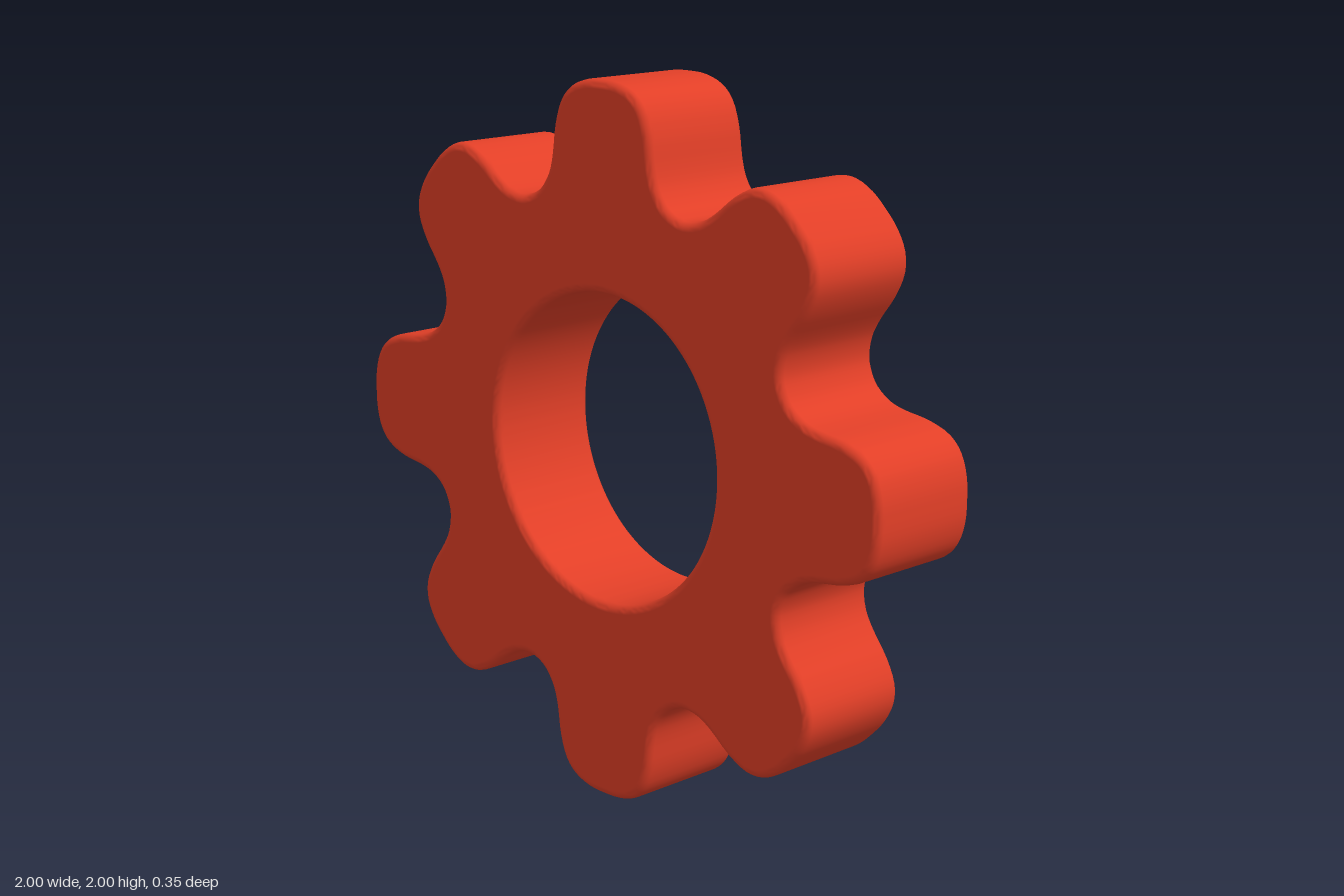
import * as THREE from 'three';
import { toCreasedNormals } from 'three/addons/utils/BufferGeometryUtils.js';

const TEETH = 8;
const DEPTH = 0.35;
const BEVEL = 0.025;
const HOLE_RADIUS = 0.43;

// Half of one tooth, from the middle of its tip down to the middle of the valley
const HALF_TOOTH = [
  [0, 1], [0.062, 0.996], [0.12, 0.976], [0.16, 0.938], [0.186, 0.87],
  [0.199, 0.785], [0.214, 0.735], [0.246, 0.691], [0.278, 0.672],
];

// Smooth closed outline: each tooth is mirrored about its axis and turned into place
function gearOutline() {
  const left = HALF_TOOTH.slice(1).reverse().map(([x, y]) => [-x, y]);
  const tooth = [...left, ...HALF_TOOTH.slice(0, -1)];
  const points = [];
  for (let i = 0; i < TEETH; i++) {
    const a = (i / TEETH) * Math.PI * 2;
    const c = Math.cos(a), s = Math.sin(a);
    for (const [x, y] of tooth) points.push(new THREE.Vector3(x * c + y * s, y * c - x * s, 0));
  }
  const curve = new THREE.CatmullRomCurve3(points, true);
  return curve.getPoints(points.length * 3).slice(0, -1).map((p) => new THREE.Vector2(p.x, p.y));
}

// Smooth normals, with the two flat faces kept evenly shaded up to their rims
function smoothRing(geometry) {
  const smooth = toCreasedNormals(geometry, 0.7);
  const { position, normal } = smooth.attributes;
  for (let i = 0; i < position.count; i++) {
    const z = position.getZ(i);
    if (Math.abs(z) > DEPTH / 2 - 1e-4) normal.setXYZ(i, 0, 0, Math.sign(z));
  }
  return smooth;
}

export function createModel() {
  const group = new THREE.Group();
  group.name = 'gear';

  // Toothed ring with a round bore and softly rounded rims;
  // the bore runs opposite to the clockwise outline so its wall faces inward
  const shape = new THREE.Shape(gearOutline());
  const bore = new THREE.Path();
  bore.absarc(0, 0, HOLE_RADIUS, 0, Math.PI * 2, false);
  shape.holes.push(bore);

  const geometry = new THREE.ExtrudeGeometry(shape, {
    depth: DEPTH - 2 * BEVEL,
    curveSegments: 96,
    bevelEnabled: true,
    bevelThickness: BEVEL,
    bevelSize: BEVEL,
    bevelOffset: -BEVEL,
    bevelSegments: 5,
  });
  geometry.translate(0, 1, -(DEPTH / 2 - BEVEL));

  const ring = new THREE.Mesh(
    smoothRing(geometry),
    new THREE.MeshStandardMaterial({ color: 0xe23f27 }),
  );
  ring.name = 'toothedRing';
  group.add(ring);
  return group;
}
